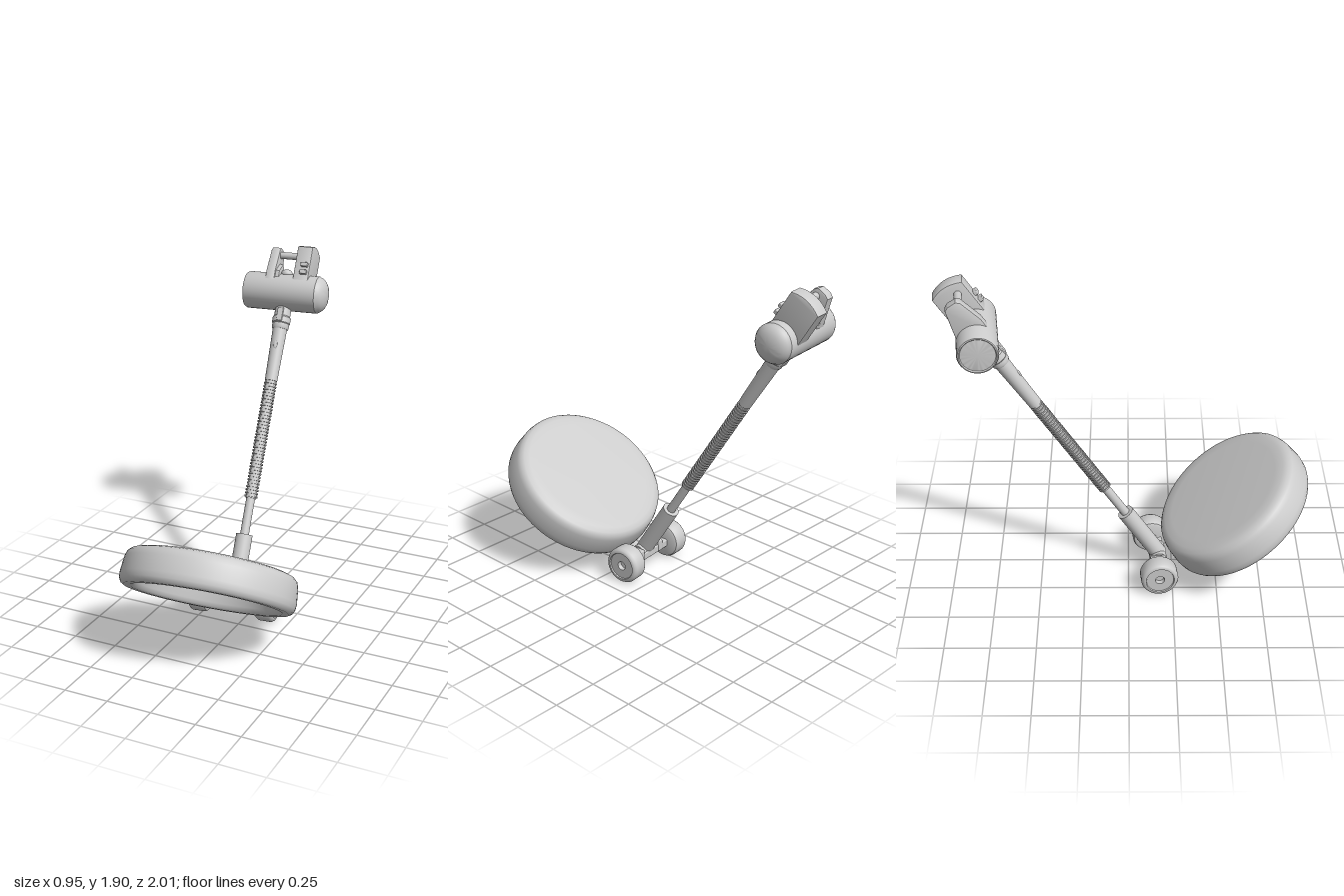
import * as THREE from 'three';
import { RoundedBoxGeometry } from 'three/addons/geometries/RoundedBoxGeometry.js';
import { toCreasedNormals } from 'three/addons/utils/BufferGeometryUtils.js';

const material = new THREE.MeshStandardMaterial({ color: 0xcccccc, roughness: 0.7 });

function add(parent, name, geometry, x = 0, y = 0, z = 0) {
  const mesh = new THREE.Mesh(geometry, material);
  mesh.name = name;
  mesh.position.set(x, y, z);
  parent.add(mesh);
  return mesh;
}

// Turned part from [radius, height] pairs listed from bottom to top
function turned(points, sides = 40) {
  const profile = points.map(([r, y]) => new THREE.Vector2(r, y));
  return toCreasedNormals(new THREE.LatheGeometry(profile, sides), 0.6);
}

// Side outline given as [z, y] pairs, extruded along x with a small bevel
function sidePlate(points, width, bevel = 0.006) {
  const shape = new THREE.Shape(points.map(([z, y]) => new THREE.Vector2(-z, y)));
  const geometry = new THREE.ExtrudeGeometry(shape, {
    depth: width - 2 * bevel, bevelSize: bevel, bevelThickness: bevel, bevelSegments: 2,
  });
  geometry.translate(0, 0, -(width - 2 * bevel) / 2);
  geometry.rotateY(Math.PI / 2);
  return toCreasedNormals(geometry, 0.5);
}

function tubeBetween(parent, name, s0, s1, r0, r1 = r0) {
  return add(parent, name, new THREE.CylinderGeometry(r1, r0, s1 - s0, 28), 0, (s0 + s1) / 2, 0);
}

// Large hollow dish, open underneath
function buildDish() {
  const dish = new THREE.Group();
  dish.name = 'dish';
  const shell = turned([
    [0, 0.07], [0.325, 0.07], [0.345, 0.06], [0.385, -0.07], [0.395, -0.09], [0.41, -0.1],
    [0.445, -0.1], [0.462, -0.09], [0.472, -0.07], [0.475, -0.04], [0.467, 0.045],
    [0.458, 0.073], [0.44, 0.09], [0.41, 0.1], [0.36, 0.103], [0, 0.105],
  ], 72);
  add(dish, 'dishShell', shell).scale.z = 0.96;
  dish.position.set(0.018, 0.425, 0.445);
  dish.rotation.x = -0.62;
  return dish;
}

// Two wheels on a short axle frame
function buildWheels() {
  const base = new THREE.Group();
  base.name = 'wheelBase';
  const wheelShape = turned([
    [0, -0.045], [0.085, -0.052], [0.098, -0.046], [0.105, -0.033], [0.105, 0.033],
    [0.098, 0.046], [0.088, 0.052], [0.08, 0.052], [0.077, 0.045], [0.026, 0.045],
    [0.024, 0.02], [0, 0.02],
  ], 48);
  for (const side of [-1, 1]) {
    const wheel = add(base, 'wheel', wheelShape, side * 0.197, 0.105, 0);
    wheel.rotation.z = -side * Math.PI / 2;
    add(base, 'axleLug', new RoundedBoxGeometry(0.035, 0.07, 0.09, 2, 0.008), side * 0.085, 0.11, 0.01);
  }
  add(base, 'axleBeam', new RoundedBoxGeometry(0.32, 0.045, 0.06, 2, 0.008), 0, 0.095, 0);
  const pivot = add(base, 'pivot', new THREE.CylinderGeometry(0.045, 0.045, 0.13, 28), 0, 0.105, 0.02);
  pivot.rotation.z = Math.PI / 2;
  return base;
}

// Telescopic pole with a ribbed section, running up local y
function buildPole(handle) {
  tubeBetween(handle, 'socket', 0, 0.37, 0.047);
  tubeBetween(handle, 'innerRod', 0.35, 0.6, 0.025);
  tubeBetween(handle, 'ribbedCore', 0.58, 1.28, 0.03);
  for (let s = 0.59; s < 1.265; s += 0.019) {
    add(handle, 'rib', new THREE.CylinderGeometry(0.037, 0.037, 0.008, 20), 0, s, 0);
  }
  tubeBetween(handle, 'grip', 1.27, 1.6, 0.036, 0.042);
  const button = add(handle, 'gripButton', new THREE.SphereGeometry(0.012, 16, 10), 0, 1.48, 0.038);
  button.scale.set(1, 2, 0.5);
  add(handle, 'collar', turned([
    [0, 1.58], [0.044, 1.58], [0.049, 1.59], [0.049, 1.612], [0.053, 1.617], [0.053, 1.65],
    [0.047, 1.658], [0.047, 1.75], [0, 1.75],
  ], 28));
  for (const side of [-1, 1]) {
    add(handle, 'collarLatch', new RoundedBoxGeometry(0.035, 0.08, 0.014, 2, 0.004), 0, 1.66, side * 0.05);
  }
}

// Cross-wise cylinder with a domed end, two uprights and a grip bar
function buildHead() {
  const head = new THREE.Group();
  head.name = 'head';
  const barrel = add(head, 'barrel', turned([
    [0, -0.232], [0.09, -0.232], [0.095, -0.238], [0.101, -0.236], [0.107, -0.222],
    [0.107, 0.195], [0.103, 0.2], [0.097, 0.213], [0.083, 0.229], [0.062, 0.241],
    [0.034, 0.249], [0, 0.251],
  ], 48));
  barrel.rotation.z = -Math.PI / 2;

  const arc = [];
  for (let i = 0; i <= 10; i++) {
    const t = i / 5 - 1;
    arc.push([-t * 0.086, 0.25 + 0.022 * (1 - t * t)]);
  }
  add(head, 'tallUpright', sidePlate([[-0.086, 0], [0.086, 0], ...arc], 0.09), 0.097, 0, 0);

  add(head, 'shortUpright', sidePlate([
    [-0.09, 0], [0.09, 0], [0.09, 0.1], [0.06, 0.23], [0.045, 0.245], [0.0, 0.245], [-0.02, 0.235],
  ], 0.055), -0.085, 0, 0);
  add(head, 'uprightFoot', sidePlate([[-0.08, 0], [0.08, 0], [0.08, 0.1], [0.03, 0.15], [-0.06, 0.1]], 0.03),
    -0.05, 0, 0);

  const bar = add(head, 'gripBar', new THREE.CylinderGeometry(0.02, 0.02, 0.16, 20), 0, 0.21, 0.035);
  bar.rotation.z = Math.PI / 2;
  const knob = add(head, 'knob', new THREE.SphereGeometry(0.035, 20, 12), -0.005, 0.1, 0.03);
  knob.scale.set(1, 0.8, 1);
  for (const y of [0.1, 0.145]) {
    add(head, 'switch', new RoundedBoxGeometry(0.042, 0.025, 0.03, 2, 0.005), 0.11, y, 0.098);
  }
  head.position.y = 1.805;
  return head;
}

export function createModel() {
  const model = new THREE.Group();
  model.name = 'wheeledPoleWithDish';
  model.position.set(-0.07, 0, 0.15);
  model.rotation.y = 0.115;

  const handle = new THREE.Group();
  handle.name = 'handle';
  handle.position.set(0, 0.105, 0.027);
  handle.rotation.x = -0.559;
  buildPole(handle);
  handle.add(buildHead());

  model.add(buildDish(), buildWheels(), handle);
  const root = new THREE.Group();
  root.name = 'model';
  root.add(model);
  return root;
}
